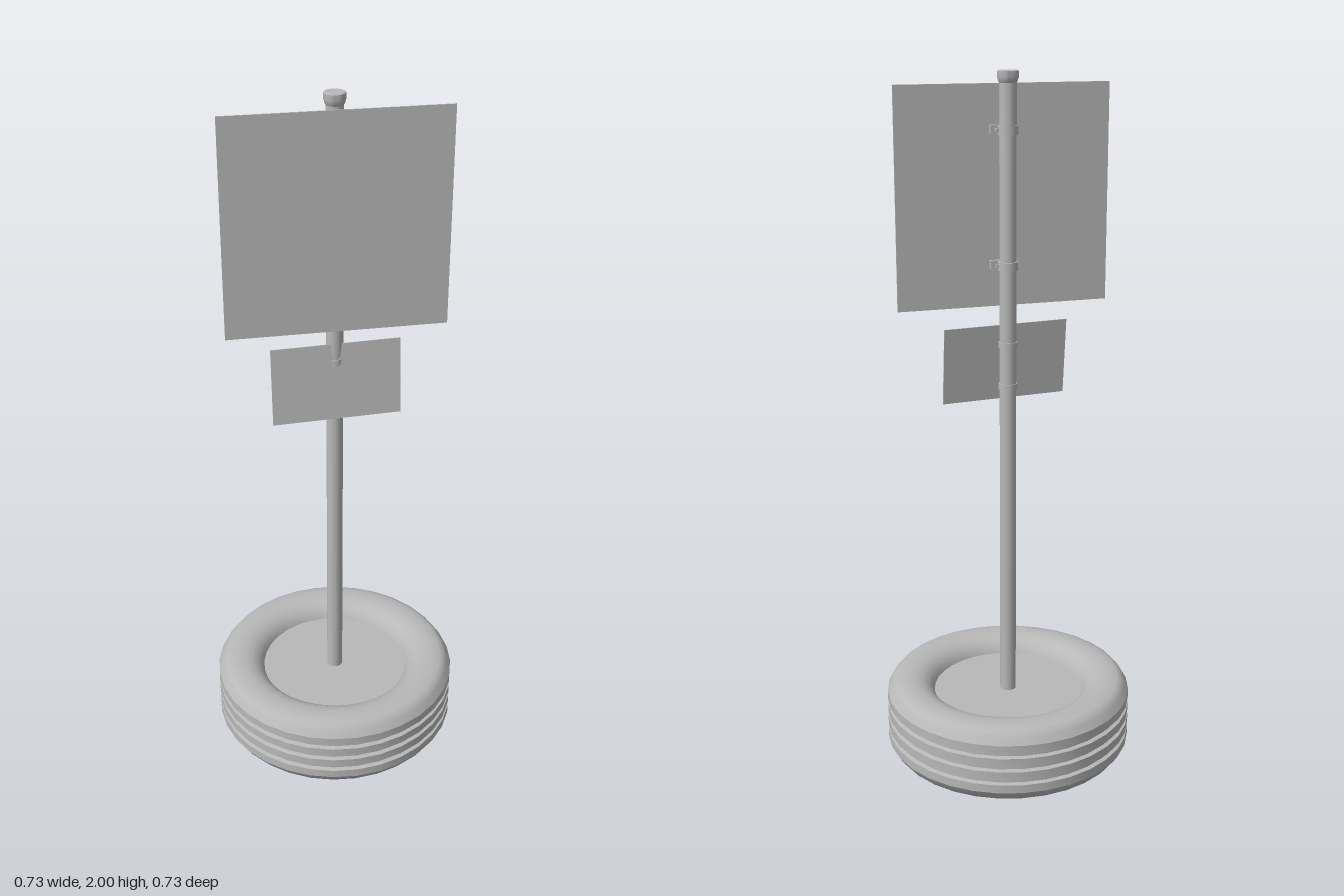
import * as THREE from 'three';
import { toCreasedNormals } from 'three/addons/utils/BufferGeometryUtils.js';

export function createModel() {
  const group = new THREE.Group();
  const grey = new THREE.MeshStandardMaterial({ color: 0xb8b8b8 });
  grey.name = 'grey';

  const add = (name, geometry, x = 0, y = 0, z = 0, parent = group) => {
    const mesh = new THREE.Mesh(geometry, grey);
    mesh.name = name;
    mesh.position.set(x, y, z);
    parent.add(mesh);
    return mesh;
  };
  const box = (w, h, d) => new THREE.BoxGeometry(w, h, d);
  const lathe = (points, sides) => toCreasedNormals(
    new THREE.LatheGeometry(points.map(([r, y]) => new THREE.Vector2(r, y)), sides), 0.55);

  // Tyre: rounded sidewalls mirrored about mid height, with three tread grooves
  const mid = 0.12;
  const wall = [[0.222, 0.066], [0.228, 0.08], [0.24, 0.095], [0.258, 0.107], [0.28, 0.113],
    [0.305, 0.114], [0.33, 0.111], [0.343, 0.105], [0.352, 0.094], [0.364, 0.075]];
  const profile = wall.map(([r, h]) => [r, mid - h]);
  for (const y of [-0.042, 0, 0.042]) {
    profile.push([0.364, mid + y - 0.008], [0.352, mid + y - 0.005],
      [0.352, mid + y + 0.005], [0.364, mid + y + 0.008]);
  }
  profile.push(...wall.map(([r, h]) => [r, mid + h]).reverse());
  add('tyre', lathe(profile, 32));

  // Solid core filling the tyre
  add('baseCore', new THREE.CylinderGeometry(0.223, 0.223, 0.187, 32), 0, 0.0935, 0);

  // Pole and its cap
  add('pole', new THREE.CylinderGeometry(0.0235, 0.0235, 1.8, 24), 0, 1.085, 0);
  add('poleCap', lathe([[0.0235, 1.968], [0.026, 1.972], [0.029, 1.982], [0.029, 1.998],
    [0.027, 2], [0, 2]], 24));

  // Large square panel with two clamps
  add('largePanel', box(0.61, 0.605, 0.004), 0, 1.6625, 0.04);
  for (const y of [1.845, 1.478]) {
    const clamp = new THREE.Group();
    clamp.name = 'largePanelClamp';
    clamp.position.y = y;
    group.add(clamp);
    add('clampBand', new THREE.CylinderGeometry(0.028, 0.028, 0.024, 24), 0, 0, 0, clamp);
    add('clampBracket', box(0.082, 0.024, 0.012), 0, 0, 0.032, clamp);
    add('clampBolt', box(0.01, 0.01, 0.01), 0.03, 0, 0, clamp);
  }

  // Small panel, slightly crooked and leaning back onto the pole
  const small = add('smallPanel', box(0.366, 0.221, 0.003), 0, 1.2, 0.028);
  small.rotation.set(-0.11, 0.055, 0);
  for (const y of [1.255, 1.135]) {
    add('smallPanelBand', new THREE.CylinderGeometry(0.0265, 0.0265, 0.018, 24), 0, y, 0);
  }

  return group;
}
